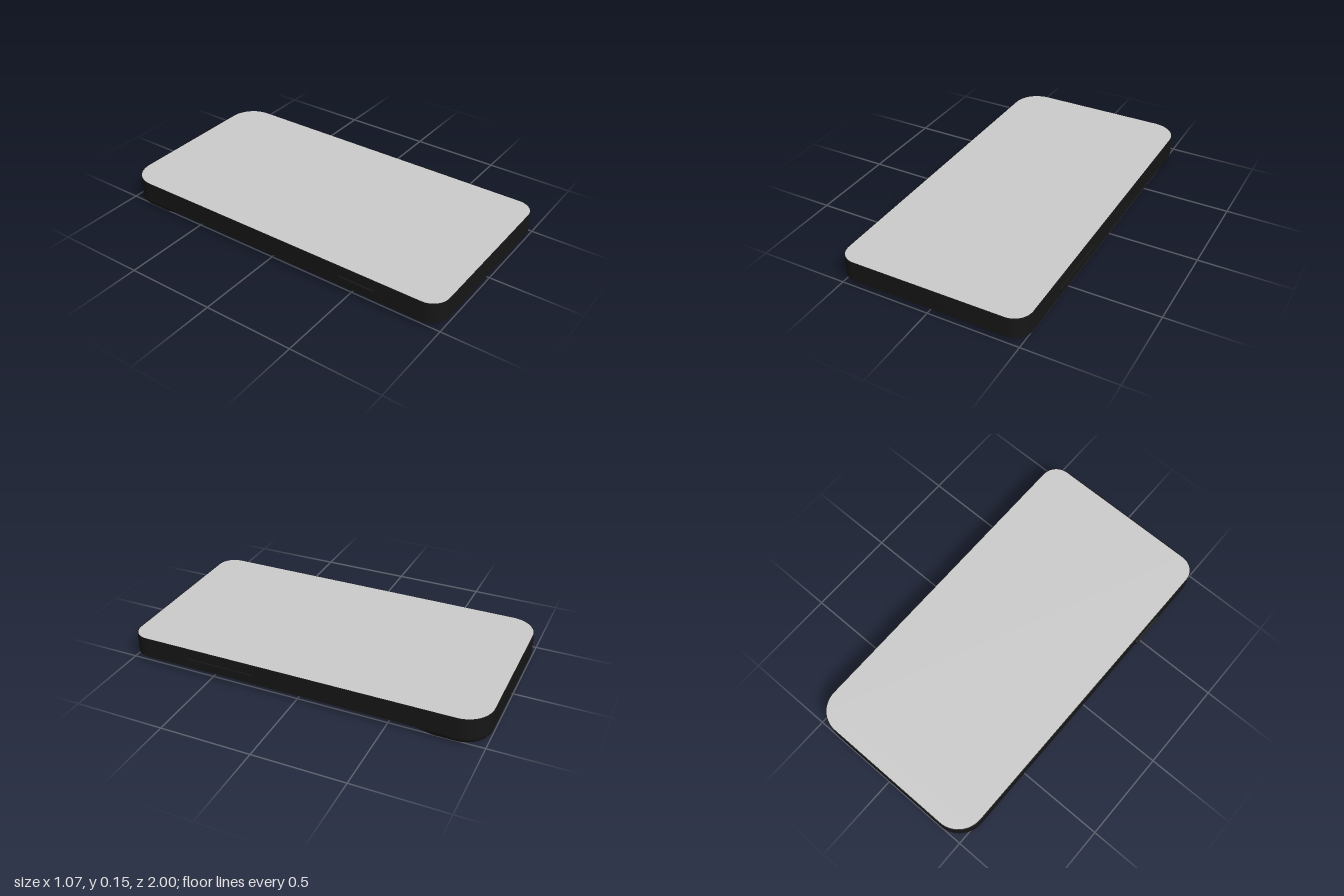
import * as THREE from 'three';
import { toCreasedNormals } from 'three/addons/utils/BufferGeometryUtils.js';

const HALF_W = 0.522, BASE_Y = 0.035, TOP_Y = 0.147, BACK_R = 0.15, FRONT_R = 0.1;

// Rounded rectangle as 2D points (second coordinate is -z), counter-clockwise from above.
function outline(halfW, zBack, zFront, rBack, rFront, steps = 12) {
  const corners = [
    [halfW - rBack, -zBack - rBack, rBack],
    [-halfW + rBack, -zBack - rBack, rBack],
    [-halfW + rFront, -zFront + rFront, rFront],
    [halfW - rFront, -zFront + rFront, rFront],
  ];
  const points = [];
  corners.forEach(([cx, cy, r], q) => {
    for (let i = 0; i <= steps; i++) {
      const a = (q + i / steps) * Math.PI / 2;
      points.push(new THREE.Vector2(cx + r * Math.cos(a), cy + r * Math.sin(a)));
    }
  });
  return points;
}

// Skin over horizontal rings listed from top to bottom, closed underneath.
function loft(rings) {
  const positions = [], index = [], n = rings[0].points.length;
  for (const { points, y } of rings) for (const p of points) positions.push(p.x, y, -p.y);
  for (let k = 0; k < rings.length - 1; k++) {
    for (let i = 0; i < n; i++) {
      const a = k * n + i, b = k * n + (i + 1) % n;
      index.push(a, a + n, b, b, a + n, b + n);
    }
  }
  const last = (rings.length - 1) * n;
  for (let i = 1; i < n - 1; i++) index.push(last, last + i + 1, last + i);
  const geometry = new THREE.BufferGeometry();
  geometry.setAttribute('position', new THREE.Float32BufferAttribute(positions, 3));
  geometry.setIndex(index);
  return toCreasedNormals(geometry, 0.5);
}

export function createModel() {
  const group = new THREE.Group();
  const dark = new THREE.MeshStandardMaterial({ color: 0x161616 });
  const grey = new THREE.MeshStandardMaterial({ color: 0xcccccc });

  function add(name, geometry, material) {
    const mesh = new THREE.Mesh(geometry, material);
    mesh.name = name;
    group.add(mesh);
    return mesh;
  }

  // Slab with larger corners at the back end
  const slab = new THREE.ExtrudeGeometry(
    new THREE.Shape(outline(HALF_W, -1, 1, BACK_R, FRONT_R)),
    { depth: TOP_Y - BASE_Y, bevelEnabled: false });
  slab.rotateX(-Math.PI / 2).translate(0, BASE_Y, 0);
  add('body', toCreasedNormals(slab, 0.5), dark);

  // Screen with a hairline dark border
  const m = 0.004;
  const screen = new THREE.ShapeGeometry(
    new THREE.Shape(outline(HALF_W - m, -1 + m, 1 - m, BACK_R - m, FRONT_R - m)));
  screen.rotateX(-Math.PI / 2).translate(0, TOP_Y + 0.001, 0);
  add('screen', screen, grey);

  // Raised underside at the back: rounded lower edges and a curved ramp towards the front
  const rings = [], levels = 8;
  for (let k = 0; k <= levels; k++) {
    const a = k / levels * Math.PI / 2;
    const drop = Math.sin(a);
    const inset = 0.03 * (1 - Math.cos(a));
    const zFront = -0.63 - 0.11 * Math.pow(drop, 0.65);
    rings.push({
      y: BASE_Y * (1 - drop),
      points: outline(HALF_W - inset, -1 + inset, zFront, BACK_R - inset, 0.02),
    });
  }
  add('rearBump', loft(rings), dark);

  // Side buttons: one long on the left, one short on the right
  for (const [name, side, z0, z1] of [['leftButton', 1, 0.25, 0.64], ['rightButton', -1, 0.44, 0.64]]) {
    const button = add(name, new THREE.BoxGeometry(0.022, 0.02, z1 - z0), dark);
    button.position.set(side * 0.522, 0.082, (z0 + z1) / 2);
  }
  return group;
}
